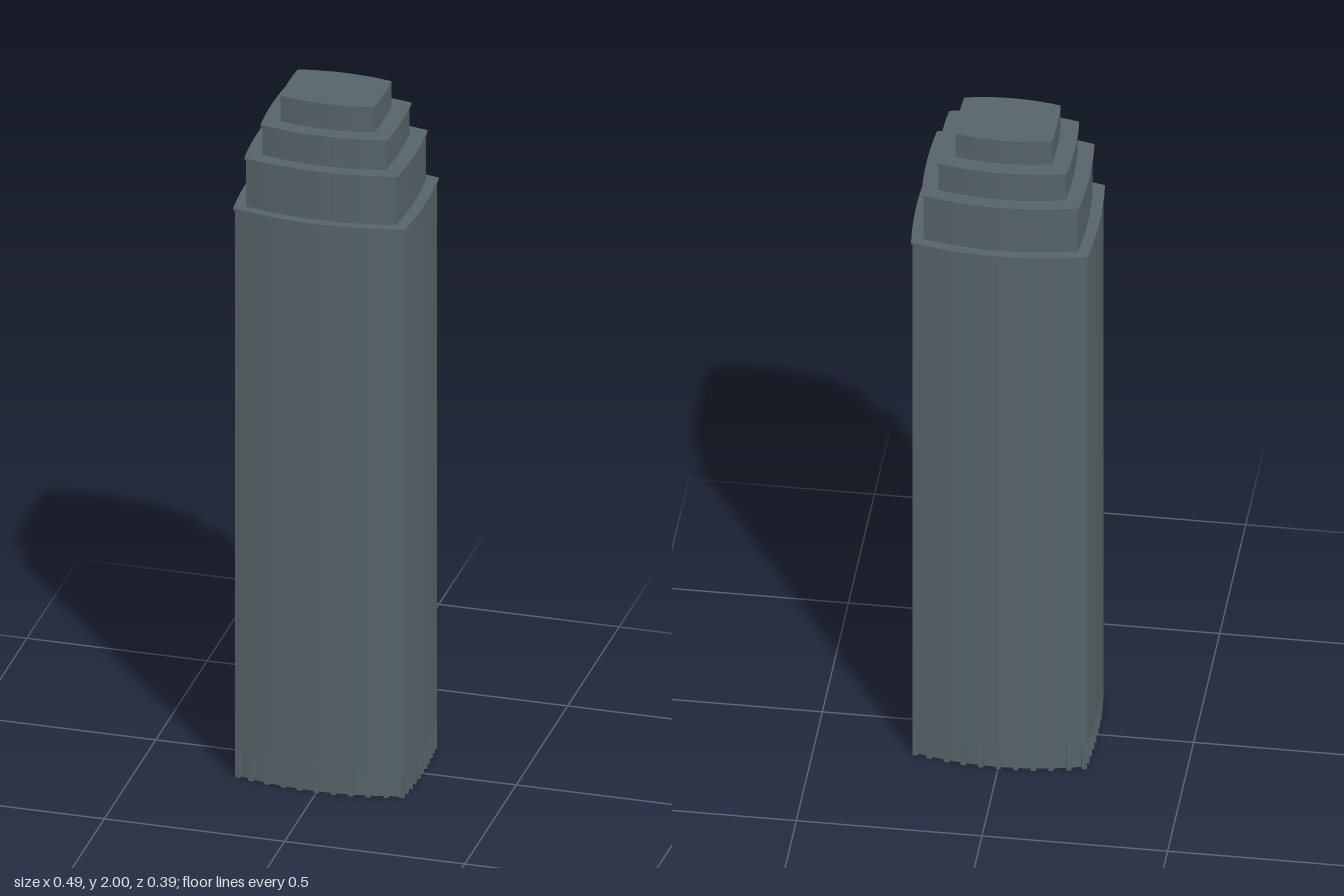
import * as THREE from 'three';

// Four-sided outline with bowed sides: mx, mz at mid-side, cx, cz at the corners
function outline([mx, mz, cx, cz], inset = 0, Type = THREE.Shape) {
  mx -= inset; mz -= inset; cx -= inset; cz -= inset;
  const s = new Type();
  s.moveTo(-cx, -cz);
  s.quadraticCurveTo(0, -(2 * mz - cz), cx, -cz);
  s.quadraticCurveTo(2 * mx - cx, 0, cx, cz);
  s.quadraticCurveTo(0, 2 * mz - cz, -cx, cz);
  s.quadraticCurveTo(-(2 * mx - cx), 0, -cx, -cz);
  return s;
}

export function createModel() {
  const model = new THREE.Group();
  model.name = 'steppedTower';
  const stone = new THREE.MeshStandardMaterial({ color: 0x566569 });
  stone.name = 'slate grey';

  function slab(name, shape, y0, y1) {
    const g = new THREE.ExtrudeGeometry(shape, { depth: y1 - y0, bevelEnabled: false, curveSegments: 10 });
    g.rotateX(-Math.PI / 2).translate(0, y0, 0);
    const mesh = new THREE.Mesh(g, stone);
    mesh.name = name;
    model.add(mesh);
  }

  // Stacked tiers, each closed by a thin projecting cap
  const main = [0.247, 0.197, 0.238, 0.165];
  const baseTop = 0.08, capHeight = 0.006, lip = 0.004;
  const tiers = [
    ['mainShaft', main, baseTop, 1.69],
    ['lowerSetback', [0.22, 0.175, 0.212, 0.148], 1.69, 1.835],
    ['middleSetback', [0.181, 0.142, 0.175, 0.12], 1.835, 1.925],
  ];
  for (const [name, size, y0, y1] of tiers) {
    slab(name, outline(size, lip), y0, y1 - capHeight);
    slab(name + 'Cap', outline(size), y1 - capHeight, y1);
  }
  slab('crown', outline([0.133, 0.098, 0.13, 0.083]), 1.925, 2);

  // Hollow ground floor: a thin recessed wall, open underneath
  const wall = outline(main, 0.014);
  wall.holes.push(outline(main, 0.02, THREE.Path));
  slab('groundFloorWall', wall, 0, baseTop);

  // Piers around the ground floor, following the bowed sides
  const piers = new THREE.Group();
  piers.name = 'groundFloorPiers';
  const [mx, mz, cx, cz] = main.map((v) => v - lip);
  const bays = 10, depth = 0.012;
  function pier(x, z, angle, width) {
    const mesh = new THREE.Mesh(new THREE.BoxGeometry(width, baseTop, depth), stone);
    mesh.name = 'pier';
    mesh.position.set(x, baseTop / 2, z);
    mesh.rotation.y = angle;
    piers.add(mesh);
  }
  for (const side of [1, -1]) {
    for (let i = 0; i <= bays; i++) {
      const t = (i / bays) * 2 - 1;
      const end = Math.abs(t) === 1 ? 0.97 : 1;
      const x = t * cx * end, z = t * cz * end;
      const zFront = mz - (mz - cz) * t * t - depth / 2;
      const xSide = mx - (mx - cx) * t * t - depth / 2;
      pier(x, side * zFront, side * Math.atan(2 * (mz - cz) * t / cx), 0.014);
      pier(side * xSide, z, side * (Math.PI / 2 - side * Math.atan(2 * (mx - cx) * t / cz)), 0.011);
    }
  }
  model.add(piers);
  return model;
}
